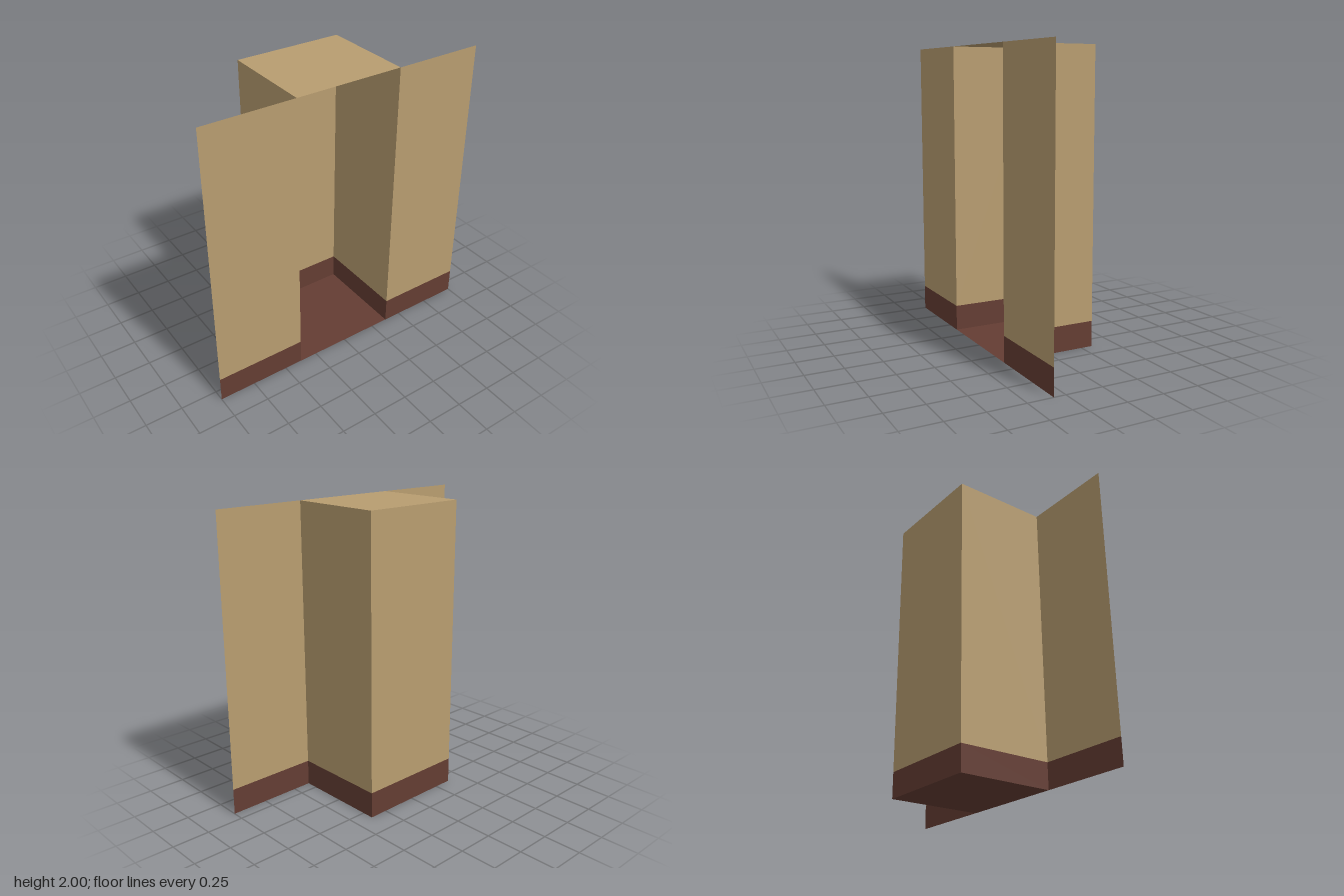
import * as THREE from 'three';

const W = 1, HALF = 0.375, DEPTH = 0.33, H = 2, BASE = 0.176;

export function createModel() {
  const model = new THREE.Group();
  const plaster = new THREE.MeshStandardMaterial({ color: 0xb89d70, side: THREE.DoubleSide });
  plaster.name = 'tanWall';
  const skirting = new THREE.MeshStandardMaterial({ color: 0x643d33, side: THREE.DoubleSide });
  skirting.name = 'brownSkirting';

  function sheet(name, width, height, material) {
    const mesh = new THREE.Mesh(new THREE.PlaneGeometry(width, height), material);
    mesh.name = name;
    return mesh;
  }

  // A thin wall panel with its brown band along the foot
  function wall(name, width, x, z, turn = 0) {
    const group = new THREE.Group();
    group.name = name;
    const upper = sheet(name + 'Panel', width, H - BASE, plaster);
    upper.position.y = (H + BASE) / 2;
    const foot = sheet(name + 'Skirting', width, BASE, skirting);
    foot.position.y = BASE / 2;
    group.add(upper, foot);
    group.position.set(x, 0, z);
    group.rotation.y = turn;
    model.add(group);
  }

  // Front wings and alcove cheeks, mirrored
  for (const [side, s] of [['left', 1], ['right', -1]]) {
    wall(side + 'FrontWall', W - HALF, s * (W + HALF) / 2, DEPTH);
    wall(side + 'AlcoveWall', DEPTH * 2, s * HALF, 0, -s * Math.PI / 2);
  }
  wall('backWall', HALF * 2, 0, -DEPTH);

  // Alcove ceiling and floor
  const ceiling = sheet('ceiling', HALF * 2, DEPTH * 2, plaster);
  ceiling.rotation.x = -Math.PI / 2;
  ceiling.position.y = H;
  const floor = sheet('floor', HALF * 2, DEPTH * 2, skirting);
  floor.rotation.x = -Math.PI / 2;
  model.add(ceiling, floor);

  return model;
}
